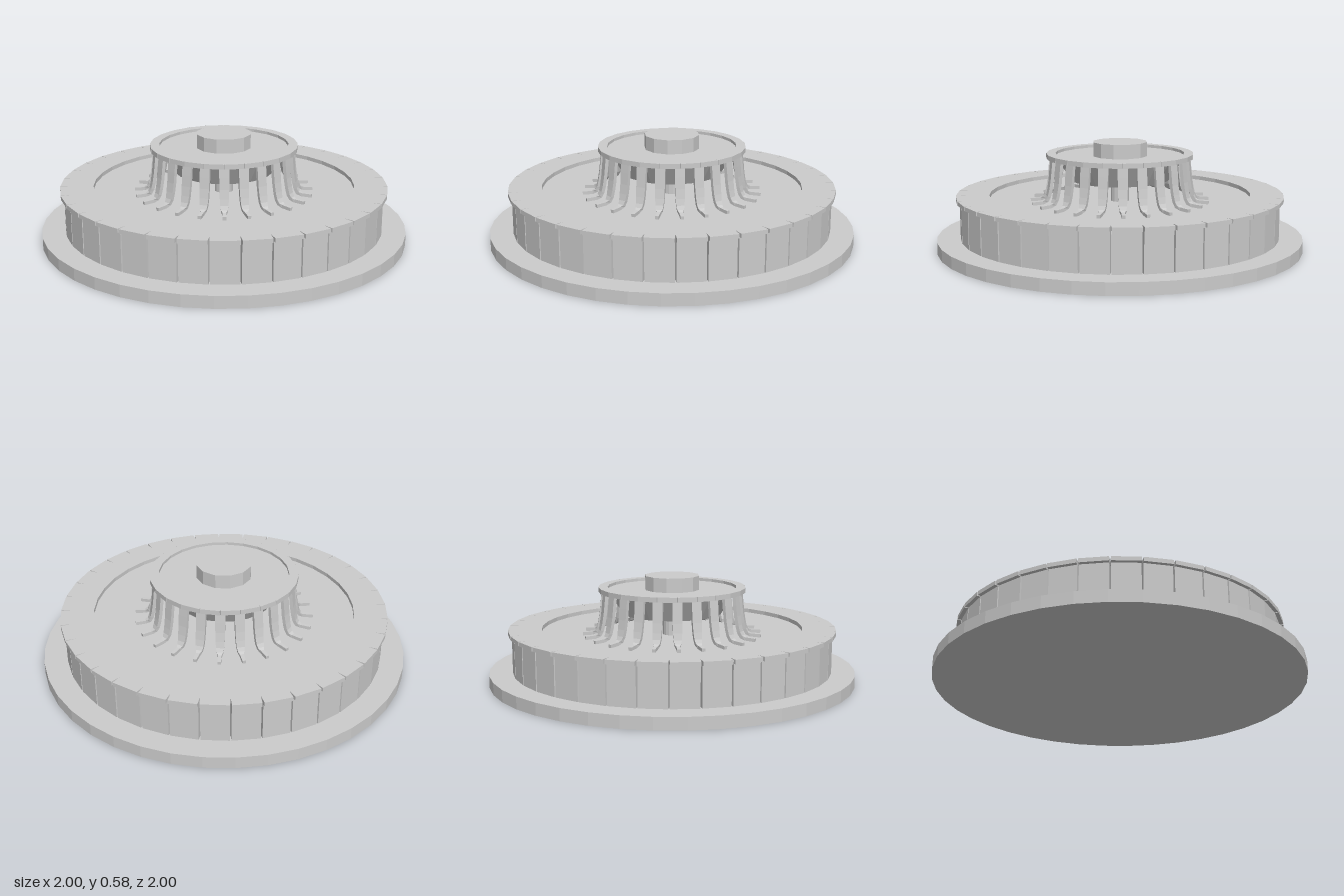
import * as THREE from 'three';

const stone = new THREE.MeshStandardMaterial({ color: 0xcccccc, flatShading: true });

function add(parent, name, geometry, y = 0, z = 0) {
  const mesh = new THREE.Mesh(geometry, stone);
  mesh.name = name;
  mesh.position.set(0, y, z);
  parent.add(mesh);
  return mesh;
}

// Cylinder standing between two heights
function drum(parent, name, rTop, rBottom, y0, y1, sides) {
  return add(parent, name, new THREE.CylinderGeometry(rTop, rBottom, y1 - y0, sides), (y0 + y1) / 2);
}

// Ring of equal pieces; each piece is made facing +z, then turned about y
function ring(parent, name, count, geometry, y = 0, z = 0) {
  const group = new THREE.Group();
  group.name = name;
  for (let i = 0; i < count; i++) {
    const pivot = new THREE.Group();
    pivot.rotation.y = ((i + 0.5) / count) * Math.PI * 2;
    add(pivot, name + 'Piece', geometry, y, z);
    group.add(pivot);
  }
  parent.add(group);
  return group;
}

// Ribbon of falling water: [radius, height, width] stations, rectangular section
function streamGeometry() {
  const stations = [
    [0.375, 0.495, 0.052], [0.381, 0.44, 0.052], [0.387, 0.38, 0.05], [0.395, 0.33, 0.047],
    [0.403, 0.295, 0.042], [0.415, 0.272, 0.034], [0.435, 0.262, 0.02], [0.49, 0.258, 0.018],
  ];
  const half = 0.009;
  const position = [], index = [];
  stations.forEach(([r, y, w], i) => {
    const a = stations[Math.max(i - 1, 0)], b = stations[Math.min(i + 1, stations.length - 1)];
    const dr = b[0] - a[0], dy = b[1] - a[1], len = Math.hypot(dr, dy);
    const nr = (-dy / len) * half, ny = (dr / len) * half;
    for (const [sx, sn] of [[-1, 1], [1, 1], [1, -1], [-1, -1]]) {
      position.push((sx * w) / 2, y + sn * ny, r + sn * nr);
    }
    if (i === 0) return;
    for (let k = 0; k < 4; k++) {
      const p = (i - 1) * 4 + k, q = (i - 1) * 4 + ((k + 1) % 4);
      index.push(p, p + 4, q, q, p + 4, q + 4);
    }
  });
  const e = (stations.length - 1) * 4;
  index.push(0, 1, 2, 0, 2, 3, e, e + 2, e + 1, e, e + 3, e + 2);
  const geometry = new THREE.BufferGeometry();
  geometry.setAttribute('position', new THREE.Float32BufferAttribute(position, 3));
  geometry.setIndex(index);
  geometry.computeVertexNormals();
  return geometry;
}

export function createModel() {
  const model = new THREE.Group();
  model.name = 'fountain';

  // Plinth and pool
  drum(model, 'plinth', 1, 1, 0, 0.065, 40);
  drum(model, 'poolFloor', 0.835, 0.835, 0.06, 0.25, 36);

  // Pool wall panels and the coping slabs on top, split by narrow joints
  const panelCount = 36;
  ring(model, 'wallPanels', panelCount, new THREE.BoxGeometry(0.144, 0.21, 0.04), 0.17, 0.85);
  ring(model, 'copingSlabs', panelCount, new THREE.BoxGeometry(0.146, 0.022, 0.18), 0.284, 0.8);

  // Upper basin on a slim stem
  drum(model, 'stem', 0.05, 0.05, 0.25, 0.38, 16);
  drum(model, 'upperBasin', 0.355, 0.27, 0.37, 0.5, 24);
  ring(model, 'upperRim', 24, new THREE.BoxGeometry(0.102, 0.026, 0.05), 0.503, 0.374);
  drum(model, 'centreCap', 0.15, 0.15, 0.49, 0.577, 12);

  // Curved water streams around the upper basin
  const streams = ring(model, 'waterStreams', 24, streamGeometry());
  streams.rotation.y = Math.PI / 24;

  return model;
}
